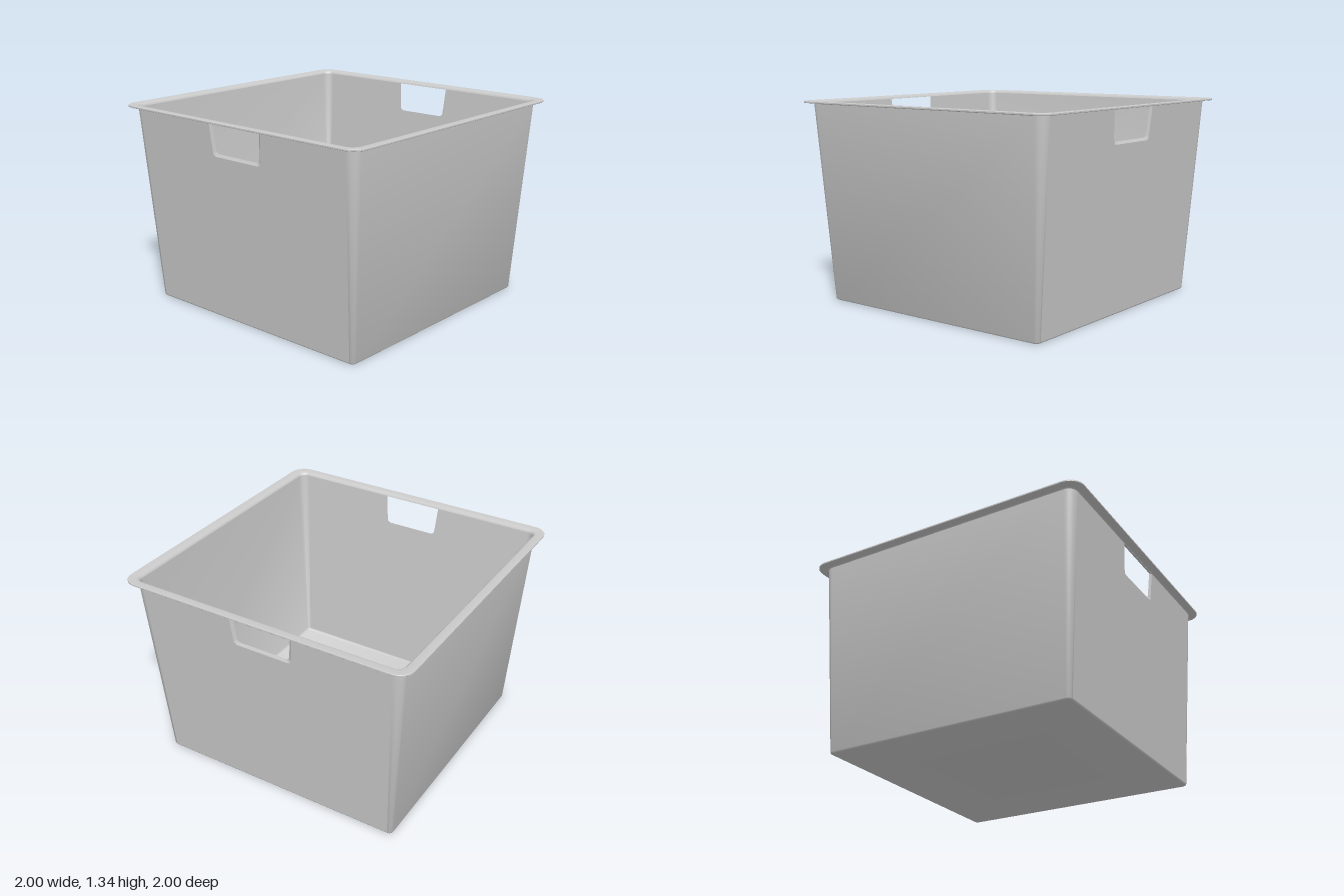
import * as THREE from 'three';
import { toCreasedNormals } from 'three/addons/utils/BufferGeometryUtils.js';

const T = 0.012;                          // wall thickness
const WALL_TOP = 1.317, FLANGE = 1.324, TOP = 1.336;
const OUT_LOW = 0.012, IN_LOW = 0.03;     // where the straight walls start
const N = 8;                              // segments per rounded corner

// Tapered section of the bin at height y, grown by off
const wall = (y, off = 0) => ({
  y, hx: 0.86 + 0.062 * y + off, hz: 0.85 + 0.072 * y + off, r: 0.03 + 0.025 * y + off,
});
const rim = (y, inset = 0) => ({ y, hx: 1 - inset, hz: 1 - inset, r: 0.1 - inset });
const centre = (y) => ({ y, hx: 0, hz: 0, r: 0 });

// Points round a rounded rectangle
function ring({ y, hx, hz, r }) {
  const pts = [];
  [[1, 1], [-1, 1], [-1, -1], [1, -1]].forEach(([sx, sz], c) => {
    for (let i = 0; i <= N; i++) {
      const a = (c + i / N) * Math.PI / 2;
      pts.push([sx * (hx - r) + r * Math.cos(a), y, sz * (hz - r) + r * Math.sin(a)]);
    }
  });
  return pts;
}

// Skin a run of sections; openSides leaves out the flat front and back
function loft(sections, openAt = []) {
  const pos = [];
  const rings = sections.map(ring);
  for (let k = 0; k < rings.length - 1; k++) {
    const lo = rings[k], hi = rings[k + 1], n = lo.length;
    for (let i = 0; i < n; i++) {
      if (openAt.includes(k) && (i === N || i === 3 * N + 2)) continue;
      const j = (i + 1) % n;
      pos.push(...lo[i], ...hi[i], ...lo[j], ...lo[j], ...hi[i], ...hi[j]);
    }
  }
  const g = new THREE.BufferGeometry();
  g.setAttribute('position', new THREE.Float32BufferAttribute(pos, 3));
  return toCreasedNormals(g, 0.7);
}

// Outline of the hand hole, grown by e
function holePath(e) {
  const top = WALL_TOP - 0.001, low = 1.12 - e, w = 0.204 + e, b = 0.187 + e, r = 0.03;
  const p = new THREE.Path();
  p.moveTo(-w, top);
  p.lineTo(-b - 0.002, low + r);
  p.quadraticCurveTo(-b, low, -b + r, low);
  p.lineTo(b - r, low);
  p.quadraticCurveTo(b, low, b + 0.002, low + r);
  p.lineTo(w, top);
  p.closePath();
  return p;
}

// Flat leaning wall skin with a hand hole
function panel(yLow, off, grow) {
  const half = (y) => 0.83 + 0.037 * y;
  const s = new THREE.Shape([[-1, yLow], [1, yLow], [1, WALL_TOP], [-1, WALL_TOP]]
    .map(([sx, y]) => new THREE.Vector2(sx * half(y), y)));
  s.holes.push(holePath(grow));
  const g = new THREE.ShapeGeometry(s, 6);
  const p = g.attributes.position;
  for (let i = 0; i < p.count; i++) p.setZ(i, wall(p.getY(i), off).hz);
  g.computeVertexNormals();
  return g;
}

// Sloped lip joining the outer and inner edges of the hand hole
function holeLip() {
  const at = (grow, off) => holePath(grow).getPoints(6).map((p) => [p.x, p.y, wall(p.y, off).hz]);
  const a = at(0.018, 0), b = at(0, -T), pos = [];
  for (let i = 0; i < a.length; i++) {
    const j = (i + 1) % a.length;
    pos.push(...a[i], ...a[j], ...b[i], ...b[i], ...a[j], ...b[j]);
  }
  const g = new THREE.BufferGeometry();
  g.setAttribute('position', new THREE.Float32BufferAttribute(pos, 3));
  return toCreasedNormals(g, 0.7);
}

export function createModel() {
  const group = new THREE.Group();
  group.name = 'storageBin';
  const mat = new THREE.MeshStandardMaterial({ color: 0xcccccc, side: THREE.DoubleSide });
  const add = (parent, name, geo) => {
    const m = new THREE.Mesh(geo, mat);
    m.name = name;
    parent.add(m);
  };

  // Floor, side walls and rounded corners, outside then inside
  add(group, 'outerShell', loft([
    centre(0), wall(0, -0.012), wall(0.004, -0.004), wall(OUT_LOW), wall(WALL_TOP),
  ], [3]));
  add(group, 'innerShell', loft([
    wall(WALL_TOP, -T), wall(IN_LOW, -T), wall(0.018, -T - 0.004), wall(T, -T - 0.012), centre(T),
  ], [0]));

  // Flange round the top, rolled into the walls
  add(group, 'rim', loft([
    wall(WALL_TOP), wall(1.322, 0.003), wall(FLANGE, 0.01), rim(FLANGE, 0.002), rim(FLANGE + 0.002),
    rim(TOP - 0.002), rim(TOP, 0.002), wall(TOP, 0.008), wall(1.333, -0.002), wall(1.326, -0.009),
    wall(WALL_TOP, -T),
  ]));

  // Front and back walls with hand holes
  ['frontWall', 'backWall'].forEach((name, i) => {
    const side = new THREE.Group();
    side.name = name;
    add(side, 'outerPanel', panel(OUT_LOW, 0, 0.018));
    add(side, 'innerPanel', panel(IN_LOW, -T, 0));
    add(side, 'handHoleLip', holeLip());
    side.rotation.y = i * Math.PI;
    group.add(side);
  });
  return group;
}
